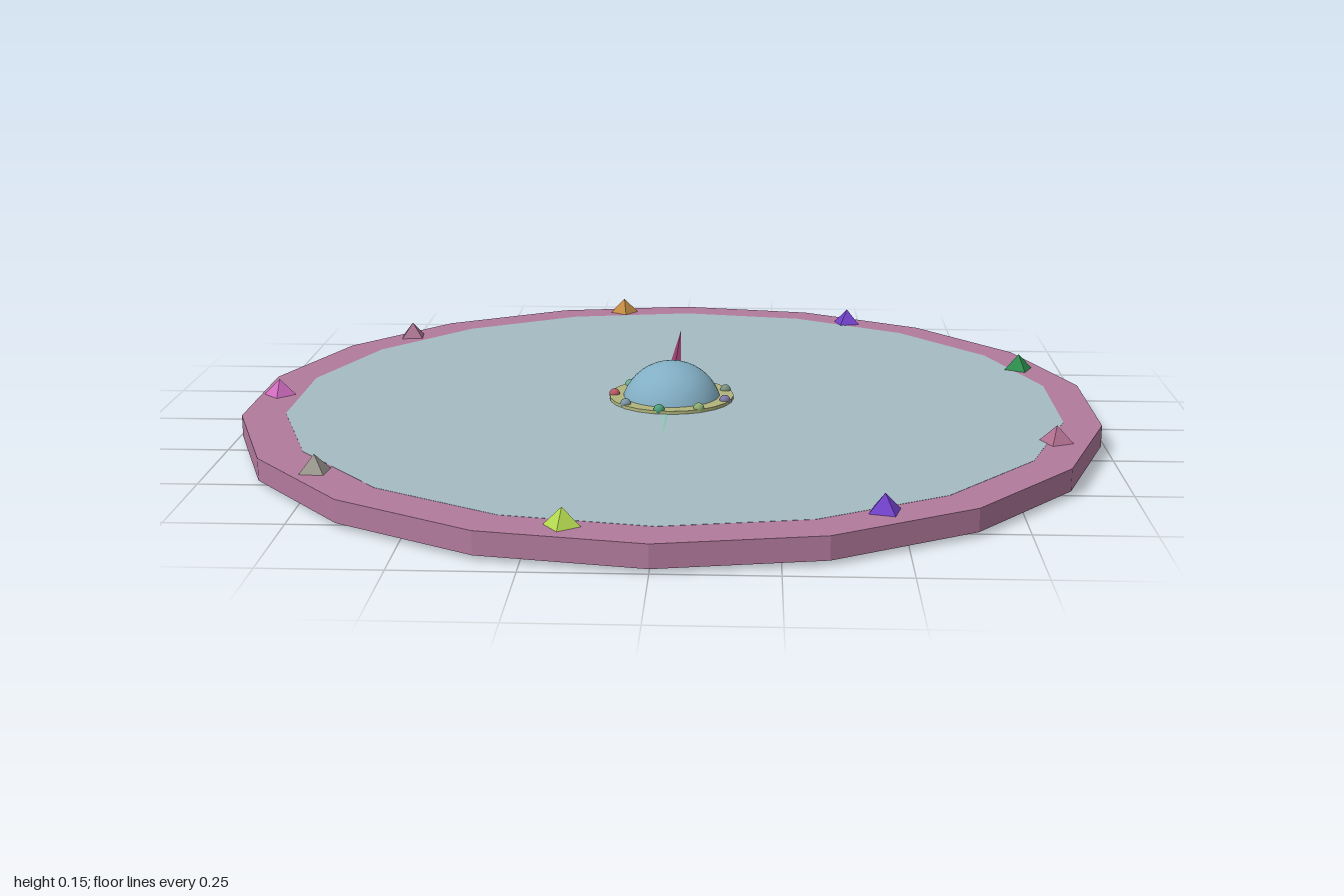
import * as THREE from 'three';

const SIDES = 18;
const HUB = { x: 0, z: -0.022 };

function mat(color, flatShading = true) {
  return new THREE.MeshStandardMaterial({ color, flatShading });
}

function add(parent, name, geometry, material, x = 0, y = 0, z = 0) {
  const mesh = new THREE.Mesh(geometry, material);
  mesh.name = name;
  mesh.position.set(x, y, z);
  parent.add(mesh);
  return mesh;
}

// Closed rectangular profile turned about the y axis
function band(inner, outer, bottom, top, sides) {
  const profile = [[inner, bottom], [outer, bottom], [outer, top], [inner, top], [inner, bottom]];
  return new THREE.LatheGeometry(profile.map(([r, y]) => new THREE.Vector2(r, y)), sides);
}

// Calls place(x, z, angle, index) for nine points, 40 degrees apart, starting on the -x side
function nineAround(radius, cx, cz, place) {
  for (let i = 0; i < 9; i++) {
    const a = Math.PI - i * Math.PI * 2 / 9;
    place(cx + Math.cos(a) * radius, cz - Math.sin(a) * radius, a, i);
  }
}

// Four-sided tapering pointer lying flat; dir is the sign of z it points to
function addNeedle(parent, name, color, dir, x, length, y, height) {
  const geometry = new THREE.ConeGeometry(0.033, length, 4);
  geometry.translate(0, length / 2, 0);
  geometry.rotateX(dir * Math.PI / 2);
  geometry.scale(1, height / 0.033, 1);
  add(parent, name, geometry, mat(color), x, y, HUB.z);
}

export function createModel() {
  const model = new THREE.Group();

  // Dial: faceted frame around a plate that stands slightly proud underneath
  add(model, 'frame', band(0.895, 1, 0.01, 0.06, SIDES), mat(0xb27a9d));
  add(model, 'plate', new THREE.CylinderGeometry(0.908, 0.908, 0.0605, SIDES),
    mat(0xa4bcc2), 0.007, 0.03025, -0.006);

  // Pointers
  addNeedle(model, 'backNeedle', 0x8e3a68, -1, -0.003, 0.87, 0.058, 0.012);
  addNeedle(model, 'frontNeedle', 0x90c4b8, 1, -0.008, 0.88, 0.057, 0.0055);

  // Hub: collar, dome and a circle of small studs
  const hub = new THREE.Group();
  hub.name = 'hub';
  hub.position.set(HUB.x, 0, HUB.z);
  model.add(hub);
  add(hub, 'collar', band(0.11, 0.148, 0.052, 0.068, 24), mat(0xb1b57c));
  add(hub, 'dome', new THREE.SphereGeometry(0.122, 32, 12, 0, Math.PI * 2, 0, Math.PI / 2),
    mat(0x82aec4, false), 0, 0.027, 0);
  const studColors = [0xb85a62, 0x6cb092, 0x6d86b0, 0x5f6fa8, 0x77927e,
    0x7d78a8, 0x8fae72, 0x4fa080, 0x7c96a6];
  const stud = new THREE.SphereGeometry(0.013, 10, 8);
  nineAround(0.136, 0, 0, (x, z, a, i) =>
    add(hub, 'stud', stud, mat(studColors[i], false), x, 0.068, z));

  // Cut gems around the frame
  const gemColors = [0xd06cc0, 0xa9728f, 0xc08a42, 0x7040c8, 0x2c8a4c,
    0xb0708f, 0x7040c8, 0xb4d850, 0x9c9890];
  const gem = new THREE.OctahedronGeometry(0.044);
  nineAround(0.929, -0.011, -0.012, (x, z, a, i) => {
    add(model, 'gem', gem, mat(gemColors[i]), x, 0.054, z).rotation.y = a;
  });

  return model;
}
